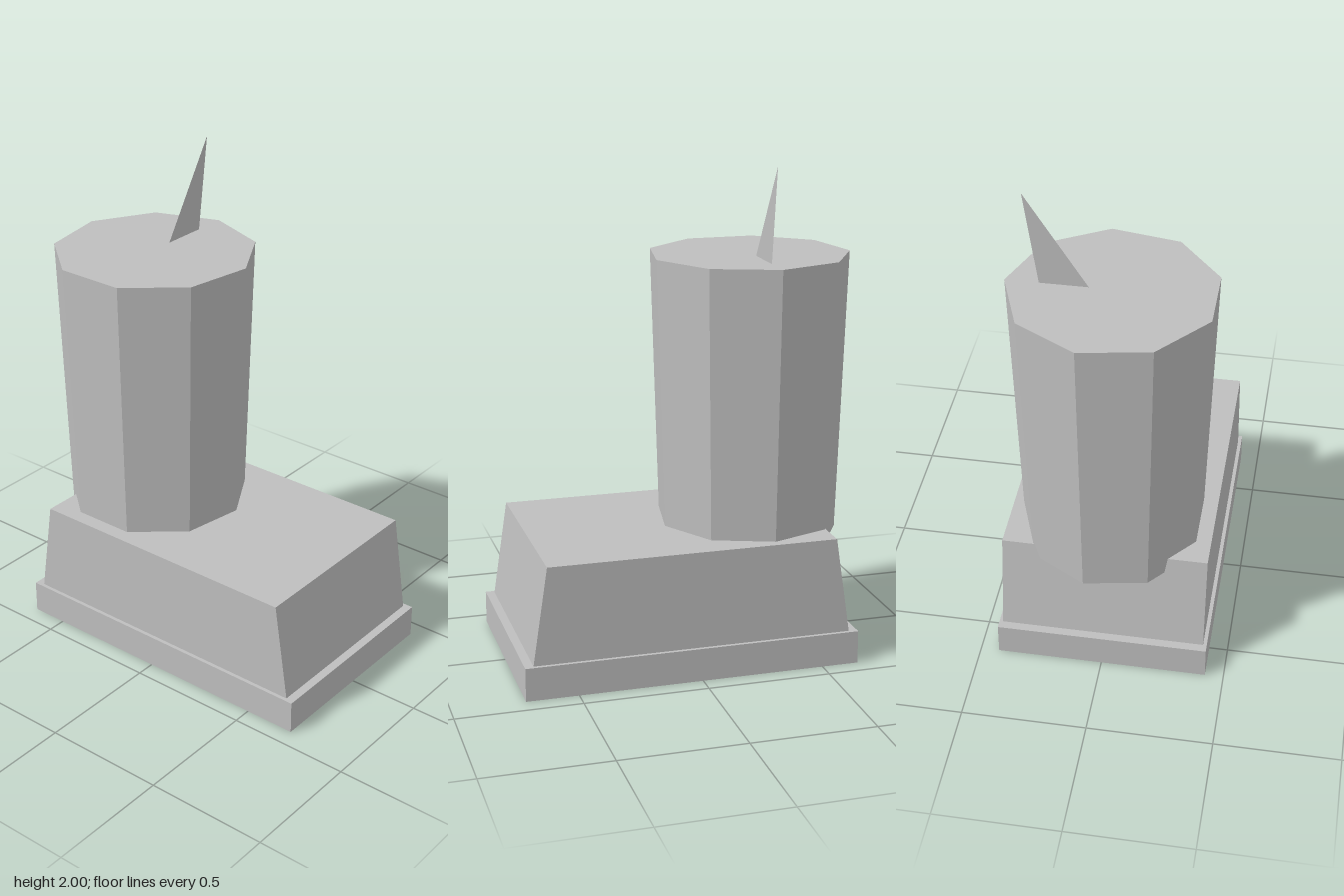
import * as THREE from 'three';

export function createModel() {
  const model = new THREE.Group();
  const grey = new THREE.MeshStandardMaterial({ color: 0xbebebe, flatShading: true });
  grey.name = 'grey';
  const greyThin = grey.clone();
  greyThin.side = THREE.DoubleSide;

  const add = (name, geometry, material, x, y, z) => {
    const mesh = new THREE.Mesh(geometry, material);
    mesh.name = name;
    mesh.position.set(x, y, z);
    model.add(mesh);
    return mesh;
  };

  // Flat plinth at the bottom
  add('plinth', new THREE.BoxGeometry(0.85, 0.135, 1.36), grey, 0, 0.0675, 0.03);

  // Block whose front and back lean inwards towards the top
  const block = new THREE.BoxGeometry(0.82, 0.395, 1.29);
  const p = block.attributes.position;
  for (let i = 0; i < p.count; i++) {
    if (p.getY(i) > 0) p.setZ(i, Math.sign(p.getZ(i)) * 0.585);
  }
  block.computeVertexNormals();
  add('slopedBlock', block, grey, 0, 0.3325, 0.03);

  // Nine-sided column, slightly wider at the top, overhanging the back
  const bottom = 0.465, top = 1.62;
  const column = new THREE.CylinderGeometry(0.407, 0.37, top - bottom, 9, 1, false, Math.PI / 2);
  add('column', column, grey, 0, (top + bottom) / 2, -0.312);

  // Thin triangular fin standing on the column
  const fin = new THREE.Shape([
    new THREE.Vector2(0.09, top),
    new THREE.Vector2(0.277, top),
    new THREE.Vector2(0.33, 2),
  ]);
  add('fin', new THREE.ShapeGeometry(fin), greyThin, 0, 0, -0.312);

  return model;
}
